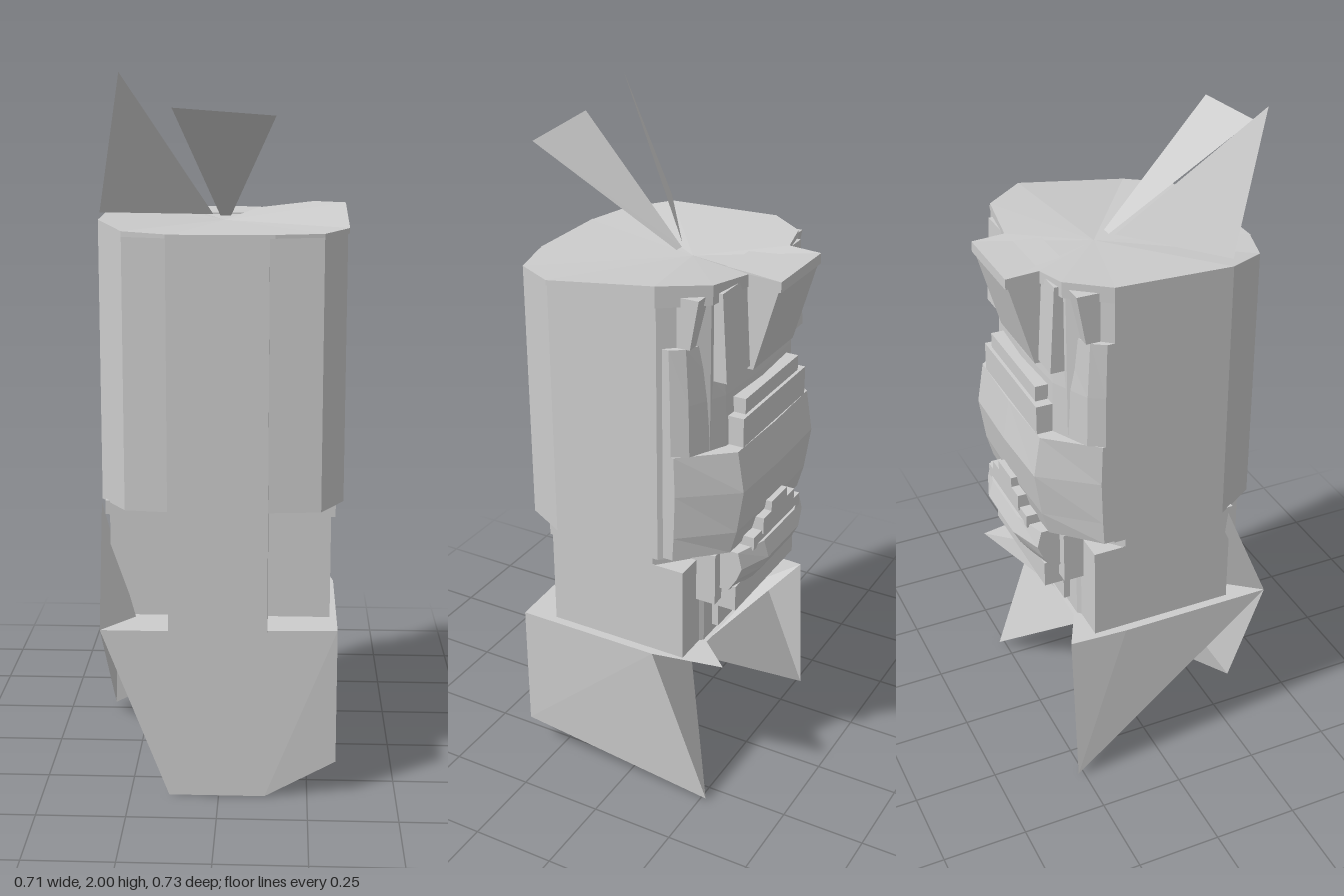
import * as THREE from 'three';

const stone = new THREE.MeshStandardMaterial({ color: 0xcccccc, side: THREE.DoubleSide });
stone.name = 'stone grey';

export function createModel() {
  const group = new THREE.Group();

  const add = (name, geometry) => {
    const mesh = new THREE.Mesh(geometry, stone);
    mesh.name = name;
    group.add(mesh);
    return mesh;
  };

  // Flat sheet made of separate triangles
  const sheet = (name, triangles) => {
    const g = new THREE.BufferGeometry();
    g.setAttribute('position', new THREE.Float32BufferAttribute(triangles.flat(2), 3));
    g.computeVertexNormals();
    return add(name, g);
  };

  // Upright prism from an [x, z] outline
  const prism = (name, outline, y0, y1) => {
    const shape = new THREE.Shape(outline.map(([x, z]) => new THREE.Vector2(x, -z)));
    const g = new THREE.ExtrudeGeometry(shape, { depth: y1 - y0, bevelEnabled: false });
    g.rotateX(-Math.PI / 2).translate(0, y0, 0);
    return add(name, g);
  };

  // Block between limits; the back face may lean between bottom and top
  const block = (name, x0, x1, y0, y1, zFront, zBottom, zTop = zBottom) => {
    const g = new THREE.BoxGeometry(1, 1, 1);
    const p = g.attributes.position;
    for (let i = 0; i < p.count; i++) {
      const top = p.getY(i) > 0;
      const back = p.getZ(i) < 0;
      p.setXYZ(i, p.getX(i) < 0 ? x0 : x1, top ? y1 : y0, back ? (top ? zTop : zBottom) : zFront);
    }
    g.computeVertexNormals();
    return add(name, g);
  };

  // Band lofted through rows of [y, z reach]; across gives [x, share of the reach]
  const band = (name, rows, across, zInner) => {
    const point = (r, c) => [across[c][0], rows[r][0], zInner + (rows[r][1] - zInner) * across[c][1]];
    const tris = [];
    for (let r = 0; r < rows.length - 1; r++) {
      for (let c = 0; c < across.length - 1; c++) {
        const [a, b, d, e] = [point(r, c), point(r, c + 1), point(r + 1, c + 1), point(r + 1, c)];
        tris.push([a, d, b], [a, e, d]);
      }
      for (const c of [0, across.length - 1]) {
        const [a, e] = [point(r, c), point(r + 1, c)];
        const [b, d] = [[a[0], a[1], zInner], [e[0], e[1], zInner]];
        tris.push(c ? [a, e, d] : [a, d, e], c ? [a, d, b] : [a, b, d]);
      }
    }
    for (const r of [0, rows.length - 1]) {
      for (let c = 0; c < across.length - 1; c++) {
        const a = [across[c][0], rows[r][0], zInner], b = [across[c + 1][0], rows[r][0], zInner];
        const [p, q] = [point(r, c), point(r, c + 1)];
        tris.push(r ? [a, b, q] : [a, q, b], r ? [a, q, p] : [a, p, q]);
      }
    }
    return sheet(name, tris);
  };

  // Base: broken skirt of pointed facets, hollow underneath and open at the back
  const fl = [-0.33, 0.49, 0.36], fm = [-0.14, 0.49, 0.36], fr = [0.33, 0.49, 0.34];
  const bl = [-0.14, 0, 0.36], bm = [0.13, 0, 0.36], br = [0.33, 0.1, 0.34];
  const sideR = [0.33, 0.49, -0.1], sideL = [-0.33, 0.49, -0.1];
  const tipR = [0.31, 0.01, -0.27], tipL = [-0.36, 0.01, -0.27];
  const backR = [0.29, 0.49, -0.31], backL = [-0.32, 0.49, -0.27];
  const neckR = [0.2, 0.49, -0.21], neckL = [-0.2, 0.49, -0.21];
  const hollow = [0, 0.27, -0.05];
  sheet('baseFront', [[fl, bl, fm], [fm, bl, bm], [fm, bm, fr], [fr, bm, br]]);
  sheet('baseWalls', [[fr, br, sideR], [br, tipR, sideR], [fl, sideL, tipL], [sideL, backL, tipL]]);
  sheet('baseUnderside', [[hollow, bm, bl], [hollow, br, bm], [hollow, tipR, br], [hollow, sideR, tipR],
    [hollow, tipL, sideL], [hollow, backR, sideR], [hollow, sideL, backL]]);
  sheet('basePlate', [[fl, fm, sideL], [fm, fr, sideR], [fm, sideR, sideL], [sideL, sideR, neckR], [sideL, neckR, neckL],
    [sideR, backR, neckR], [sideL, neckL, backL]]);

  // Neck between the base and the head
  const neck = [[-0.31, 0.24], [0.31, 0.24], [0.31, -0.1], [0.2, -0.2], [-0.2, -0.2], [-0.31, -0.1]];
  prism('neck', neck, 0.495, 0.79);
  prism('neckLedge', neck.map(([x, z]) => [x * 1.04, z]), 0.79, 0.83);
  sheet('neckFlap', [[[-0.335, 0.82, 0.22], fl, [-0.24, 0.49, 0.245]]]);

  // Head: many-sided column with the front slab
  prism('head', [[-0.26, 0.32], [-0.14, 0.335], [0.13, 0.335], [0.28, 0.32], [0.345, 0.2], [0.345, -0.13],
    [0.25, -0.24], [-0.25, -0.24], [-0.335, -0.14], [-0.335, 0.2]], 0.825, 1.58);
  block('frontSlab', -0.14, 0.135, 0.49, 1.585, 0.36, 0.1);

  // Cap: fan of facets round an off-centre point, running out over the brow
  const hub = [0, 1.59, -0.05];
  const rim = [[-0.26, 1.59, 0.32], [-0.13, 1.585, 0.36], [0.15, 1.585, 0.355], [0.28, 1.585, 0.32], [0.35, 1.59, 0.2],
    [0.35, 1.635, -0.13], [0.26, 1.63, -0.25], [0.1, 1.61, -0.27], [0.1, 1.605, -0.365], [-0.15, 1.605, -0.365],
    [-0.15, 1.61, -0.27], [-0.25, 1.62, -0.25], [-0.335, 1.62, -0.14], [-0.335, 1.61, 0.2]];
  const capFaces = [];
  rim.forEach((a, i) => {
    const b = rim[(i + 1) % rim.length];
    const drop = ([x, , z]) => [x, 1.575, z];
    capFaces.push([hub, a, b], [a, drop(a), b], [b, drop(a), drop(b)]);
  });
  sheet('cap', capFaces);
  sheet('tallSplinter', [[[-0.26, 2, 0.32], [-0.33, 1.63, 0.2], [-0.03, 1.61, 0]]]);
  sheet('shortSplinter', [[[-0.12, 1.91, 0.36], [-0.01, 1.605, -0.01], [0.15, 1.89, 0.36]],
    [[-0.01, 1.605, -0.01], [0.02, 1.605, -0.01], [0.15, 1.89, 0.36]]]);

  // Brow blocks on the carved back
  block('browBlock', -0.15, 0.1, 1.34, 1.6, -0.18, -0.29, -0.365);
  for (const s of [-1, 1]) {
    block('browSide', s * 0.165 - 0.07, s * 0.165 + 0.07, 1.35, 1.6, -0.15, -0.28, -0.265);
    block('templeBlock', s * 0.265 - 0.045, s * 0.265 + 0.045, 1.46, 1.6, -0.1, -0.21, -0.235);
  }

  // Face: eye band, stepped nose ledge and broad cheeks with bevelled sides
  const eyeCurve = [[-0.335, 0.25], [-0.31, 0.55], [-0.2, 0.93], [0, 1], [0.2, 0.93], [0.31, 0.55], [0.335, 0.25]];
  const cheekCurve = [[-0.335, 0.2], [-0.22, 0.97], [0, 1], [0.22, 0.97], [0.335, 0.2]];
  band('eyeBand', [[1.15, -0.275], [1.3, -0.27], [1.46, -0.255]], eyeCurve, -0.13);
  band('cheeks', [[0.83, -0.295], [0.9, -0.315], [1.03, -0.335], [1.15, -0.315]], cheekCurve, -0.14);
  block('noseLedge', -0.2, 0.19, 1.15, 1.235, -0.2, -0.31);
  block('noseBridge', -0.17, 0.16, 1.23, 1.28, -0.2, -0.3);

  // Mouth: stepped upper lip and a bulging muzzle over the lower lip and chin
  const steps = [[0.05, 0.88, 0.92, -0.335], [0.1, 0.84, 0.89, -0.335], [0.15, 0.81, 0.85, -0.33]];
  for (const [half, y0, y1, z] of steps) block('upperLipStep', -half, half, y0, y1, -0.2, z);
  const muzzleCurve = [[-0.2, 0.82], [-0.1, 0.99], [0.1, 0.99], [0.2, 0.82]];
  band('muzzle', [[0.69, -0.305], [0.73, -0.335], [0.77, -0.355], [0.82, -0.34]], muzzleCurve, -0.15);
  block('lowerLip', -0.19, 0.19, 0.62, 0.7, -0.15, -0.295);
  block('chin', -0.15, 0.15, 0.52, 0.62, -0.15, -0.22);
  for (const s of [-1, 1]) {
    block('jawBlock', s * 0.255 - 0.055, s * 0.255 + 0.055, 0.495, 0.78, -0.08, -0.19);
    block('mouthCorner', s * 0.2 - 0.03, s * 0.2 + 0.03, 0.65, 0.81, -0.15, -0.25);
  }
  return group;
}
